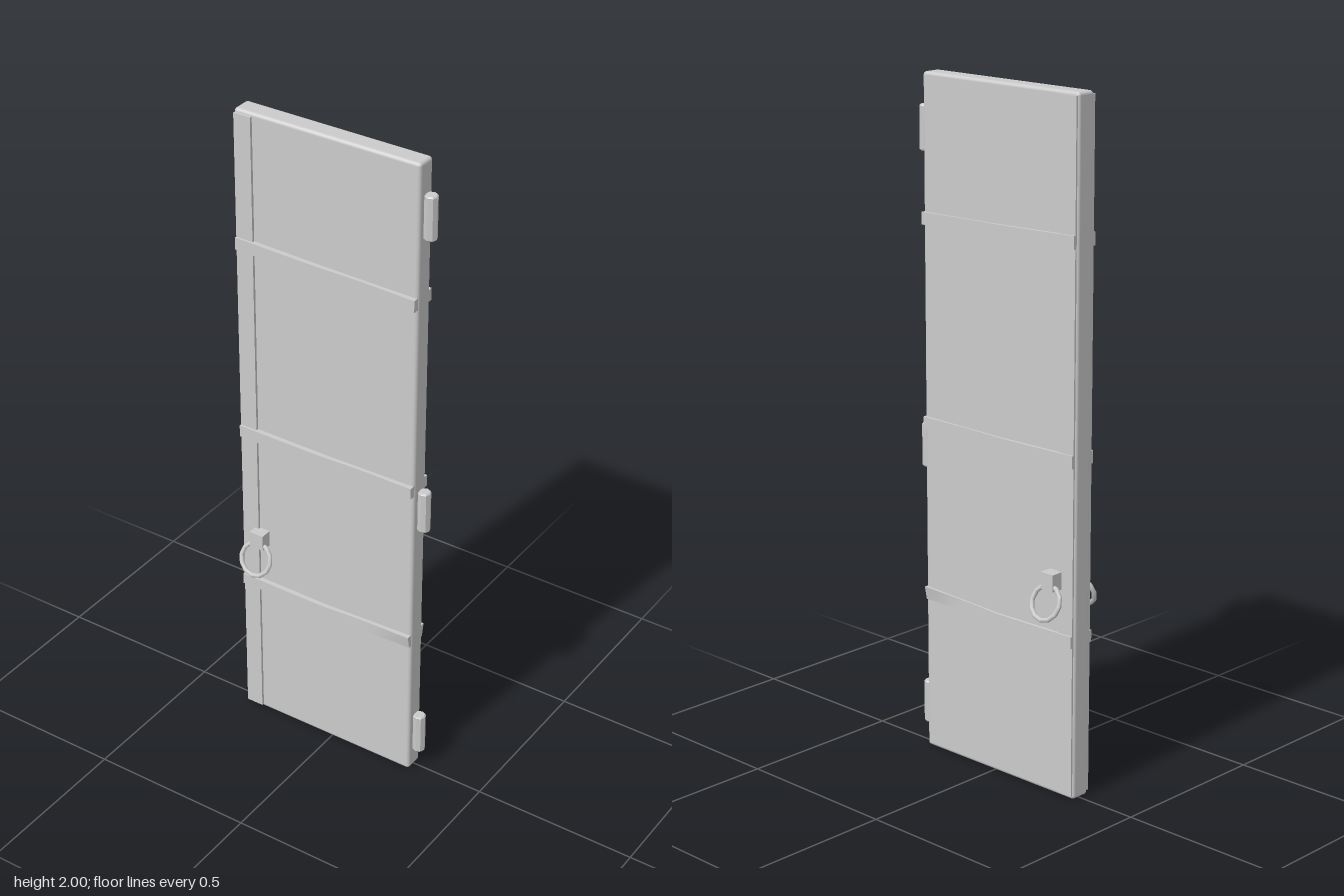
import * as THREE from 'three';
import { RoundedBoxGeometry } from 'three/addons/geometries/RoundedBoxGeometry.js';
import { toCreasedNormals } from 'three/addons/utils/BufferGeometryUtils.js';

const grey = new THREE.MeshStandardMaterial({ color: 0xcccccc });
const greyFlat = new THREE.MeshStandardMaterial({ color: 0xcccccc, flatShading: true });

export function createModel() {
  const door = new THREE.Group();
  door.name = 'door';

  function add(name, geometry, x, y, z, material = grey) {
    const mesh = new THREE.Mesh(geometry, material);
    mesh.name = name;
    mesh.position.set(x, y, z);
    door.add(mesh);
    return mesh;
  }

  // Main slab with softened edges
  add('doorPanel', new RoundedBoxGeometry(0.583, 2, 0.061, 2, 0.01), -0.0175, 1, 0.0025);

  // Slightly uneven strap: [bottom, top] heights at its left, middle and right
  function strapGeometry([left, middle, right], curl) {
    const x0 = -0.304, length = 0.576;
    const g = new THREE.BoxGeometry(length, 1, 1, 12, 1, 1);
    const p = g.attributes.position;
    for (let i = 0; i < p.count; i++) {
      const t = p.getX(i) / length + 0.5;
      const x = x0 + t * length;
      const edge = p.getY(i) > 0 ? 1 : 0;
      const y = t < 0.5
        ? THREE.MathUtils.lerp(left[edge], middle[edge], t * 2)
        : THREE.MathUtils.lerp(middle[edge], right[edge], t * 2 - 1);
      const side = Math.sign(p.getZ(i));
      // Shallow hammered waist, and a lower edge that turns in at the end
      const waist = 0.004 * Math.exp(-(((x - 0.1) / 0.12) ** 2));
      const turn = edge ? 0 : curl * THREE.MathUtils.smoothstep(t, 0.75, 1);
      p.setXYZ(i, x, y, 0.005 + side * (0.0427 - waist - turn));
    }
    return toCreasedNormals(g, 0.6);
  }

  // Three straps running across both faces
  const straps = [
    ['upperStrap', [[1.583, 1.62], [1.578, 1.612], [1.572, 1.608]], 0],
    ['middleStrap', [[0.976, 1.013], [0.973, 1.01], [0.979, 1.014]], 0],
    ['lowerStrap', [[0.456, 0.491], [0.461, 0.488], [0.459, 0.499]], 0.008],
  ];
  for (const [name, heights, curl] of straps) add(name, strapGeometry(heights, curl), 0, 0, 0);

  // Plate along the opening edge, proud of both faces
  add('edgePlate', new THREE.BoxGeometry(0.054, 1.98, 0.073), -0.277, 1, 0.0045);

  // Octagonal hinge barrels with slightly chamfered ends
  for (const y of [0.129, 0.921, 1.84]) {
    const profile = [[0, -0.065], [0.016, -0.065], [0.019, -0.061], [0.019, 0.061], [0.016, 0.065], [0, 0.065]]
      .map(([r, h]) => new THREE.Vector2(r, h));
    add('hinge', new THREE.LatheGeometry(profile, 8), 0.288, y, 0, greyFlat);
  }

  // A stub and hanging pull ring on each face
  for (const [side, ringX, ringZ] of [[1, -0.236, 0.077], [-1, -0.246, -0.078]]) {
    add('handleStub', new THREE.BoxGeometry(0.046, 0.05, 0.045), -0.24, 0.645, side * 0.0455);
    const ring = add('pullRing', new THREE.TorusGeometry(0.05, 0.007, 8, 12), ringX, 0.589, ringZ);
    ring.rotation.x = -side * 0.39;
  }

  return door;
}
